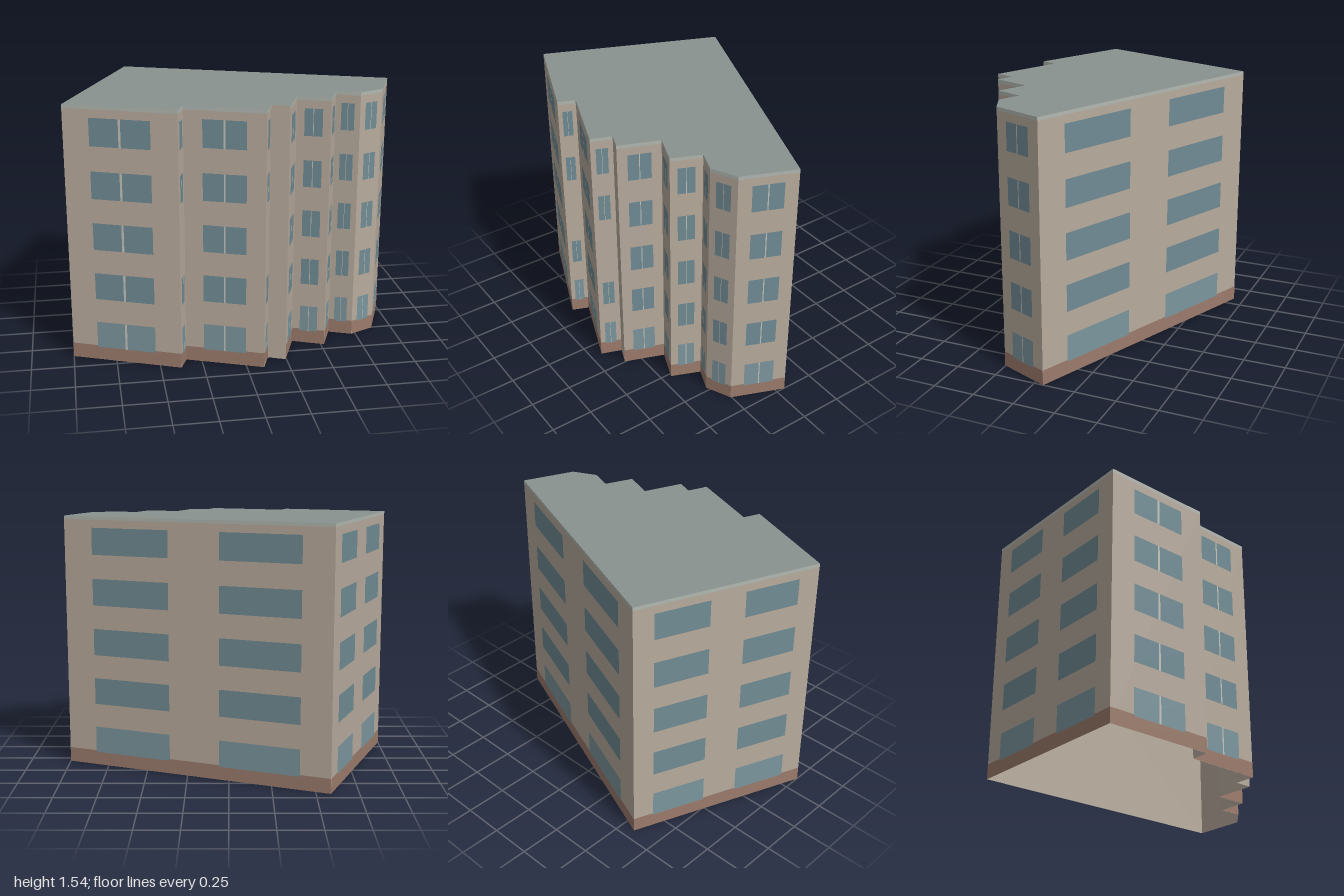
import * as THREE from 'three';

const HEIGHT = 1.545;
const mat = (color, side = THREE.FrontSide) => new THREE.MeshStandardMaterial({ color, side });

export function createModel() {
  const building = new THREE.Group();
  building.name = 'apartmentBlock';

  const wallMat = mat(0xb8ab9d, THREE.DoubleSide);
  const roofMat = mat(0x8a938f, THREE.DoubleSide);
  const plinthMat = mat(0x9c7b6c);
  const corniceMat = mat(0xb2b8b2);
  const glassMat = mat(0x718c95);
  const groundGlassMat = mat(0x7c969e);
  const mullionMat = mat(0xc4c4ba);

  // Footprint corners [x, z], left to right as seen from outside,
  // each with the facade type of the wall that starts there
  const plan = [
    [-1, 0.36, 'single'], [-0.38, 0.61, 'gap'], [-0.34, 0.51, 'single'],
    [0.1, 0.68, 'gap'], [0.145, 0.56, 'plain'], [0.245, 0.6, 'single'],
    [0.335, 0.365, 'single'], [0.52, 0.44, 'single'], [0.59, 0.27, 'single'],
    [0.725, 0.325, 'single'], [0.875, 0.255, 'single'],
    [1, -0.055, 'double'], [-0.585, -0.685, 'double'],
  ];
  const floors = [0.08, 0.389, 0.697, 1.005, 1.314];
  const windowHeight = 0.163;

  // Flat panel on a wall: x0..x1 along it, y0..y1 up it, z proud of it
  const panel = (parent, name, material, x0, x1, y0, y1, z) => {
    const mesh = new THREE.Mesh(new THREE.PlaneGeometry(x1 - x0, y1 - y0), material);
    mesh.position.set((x0 + x1) / 2, (y0 + y1) / 2, z);
    mesh.name = name;
    parent.add(mesh);
  };

  plan.forEach(([ax, az, type], i) => {
    const [bx, bz] = plan[(i + 1) % plan.length];
    const len = Math.hypot(bx - ax, bz - az);
    const facade = new THREE.Group();
    facade.name = 'facade' + (i + 1);
    facade.position.set(ax, 0, az);
    facade.rotation.y = -Math.atan2(bz - az, bx - ax);
    building.add(facade);

    panel(facade, 'wall', wallMat, 0, len, 0, HEIGHT, 0);
    if (type === 'plain') return;
    panel(facade, 'plinth', plinthMat, 0, len, 0, 0.09, 0.001);
    panel(facade, 'cornice', corniceMat, 0, len, 1.525, HEIGHT, 0.001);

    // Long rear walls carry two plain windows per floor, the others one split window
    const spans = type === 'double' ? [[0.11, 0.405], [0.595, 0.89]] : [[0.233, 0.767]];
    floors.forEach((y, f) => {
      if (type === 'gap' && f === 2) return;
      for (const [s, e] of spans) {
        panel(facade, 'window', f ? glassMat : groundGlassMat,
          s * len, e * len, y, y + windowHeight, 0.002);
      }
      if (type !== 'double') {
        panel(facade, 'mullion', mullionMat, 0.49 * len, 0.51 * len, y, y + windowHeight, 0.003);
      }
    });
  });

  // Flat roof over the footprint; the underside of the block is open
  const outline = new THREE.Shape(plan.map(([x, z]) => new THREE.Vector2(x, -z)));
  const roof = new THREE.Mesh(new THREE.ShapeGeometry(outline).rotateX(-Math.PI / 2), roofMat);
  roof.position.y = HEIGHT;
  roof.name = 'roof';
  building.add(roof);

  return building;
}
